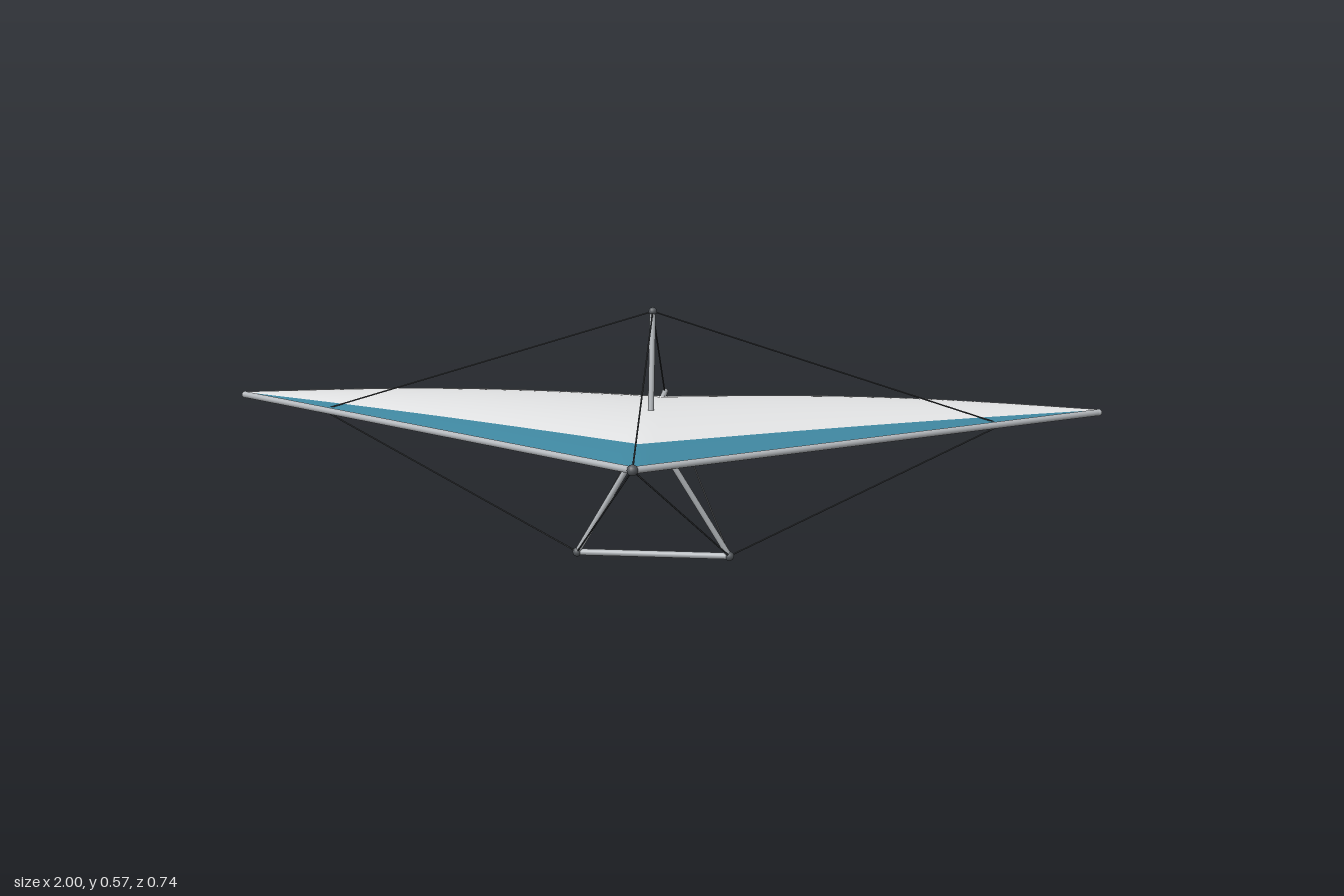
import * as THREE from 'three';

const V = (x, y, z) => new THREE.Vector3(x, y, z);
const mat = (name, color, side = THREE.FrontSide) => {
  const m = new THREE.MeshStandardMaterial({ color, side });
  m.name = name;
  return m;
};

// Key points of the airframe
const NOSE = V(0, 0.317, 0.36), TAIL = V(0, 0.317, -0.372);
const APEX = V(0, 0.312, -0.013), MAST = V(0, 0.56, -0.063);
const tip = s => V(s * 0.99, 0.302, -0.31);
const corner = s => V(s * 0.17, 0.012, -0.071);
const edge = (s, t) => NOSE.clone().lerp(tip(s), t);

// Point on the sail: u runs along the span (-1..1), t from leading to trailing edge
function sailPoint(u, t) {
  const a = Math.abs(u);
  const front = V(u * 0.99, 0.322 - 0.015 * a, 0.36 - 0.67 * a);
  const bulge = Math.sin(Math.PI * a);
  const back = V(u * 0.99, 0.319 - 0.013 * a + 0.005 * bulge, -0.312 - 0.012 * a - 0.038 * bulge);
  const chord = front.z - back.z;
  const p = front.lerp(back, t);
  p.y += 0.19 * chord * t * (1 - t);
  return p;
}

// Cambered cloth with a coloured band along the leading edge
function sailGeometry() {
  const spans = 64, band = 4, rows = 20, split = 0.18;
  const pos = [], idx = [];
  for (let j = 0; j <= rows; j++) {
    const t = j <= band ? split * j / band : split + (1 - split) * (j - band) / (rows - band);
    for (let i = 0; i <= spans; i++) pos.push(...sailPoint(-1 + 2 * i / spans, t).toArray());
  }
  for (let j = 0; j < rows; j++) {
    for (let i = 0; i < spans; i++) {
      const a = j * (spans + 1) + i, b = a + spans + 1;
      idx.push(a, a + 1, b, a + 1, b + 1, b);
    }
  }
  const g = new THREE.BufferGeometry();
  g.setAttribute('position', new THREE.Float32BufferAttribute(pos, 3));
  g.setIndex(idx);
  g.addGroup(0, band * spans * 6, 0);
  g.addGroup(band * spans * 6, (rows - band) * spans * 6, 1);
  g.computeVertexNormals();
  return g;
}

export function createModel() {
  const root = new THREE.Group();
  root.name = 'hangGlider';
  const cloth = mat('sail cloth', 0xe4e5e6, THREE.DoubleSide);
  const teal = mat('teal band', 0x3f87a0, THREE.DoubleSide);
  const metal = mat('aluminium', 0xb4b8bc);
  const dark = mat('dark fittings', 0x54585c);
  const wire = mat('wire', 0x3a3d40);

  const add = (name, geo, m) => {
    const mesh = new THREE.Mesh(geo, m);
    mesh.name = name;
    root.add(mesh);
    return mesh;
  };
  // Straight tube between two points
  const rod = (name, a, b, r, m, sides = 12) => {
    const mesh = add(name, new THREE.CylinderGeometry(r, r, a.distanceTo(b), sides), m);
    mesh.position.copy(a).lerp(b, 0.5);
    mesh.quaternion.setFromUnitVectors(V(0, 1, 0), b.clone().sub(a).normalize());
  };
  const ball = (name, p, r, m) =>
    add(name, new THREE.SphereGeometry(r, 14, 10), m).position.copy(p);
  const cable = (name, a, b) => rod(name, a, b, 0.0018, wire, 6);

  add('sail', sailGeometry(), [teal, cloth]);

  // Centre line: keel, mast and their fittings
  rod('keel', NOSE, TAIL, 0.007, metal);
  rod('kingpost', APEX, MAST, 0.0065, metal);
  ball('noseFitting', NOSE, 0.0115, dark);
  ball('mastCap', MAST, 0.009, dark);
  ball('apexFitting', APEX, 0.0095, dark);
  rod('baseBar', corner(-1), corner(1), 0.0075, metal);
  const tailRing = V(0, 0.317, -0.362);
  cable('upperFrontWire', MAST, NOSE);
  cable('upperRearWire', MAST, tailRing);

  for (const s of [-1, 1]) {
    // Spars and control frame
    rod('leadingEdge', NOSE, tip(s), 0.0075, metal);
    ball('tipCap', tip(s), 0.008, metal);
    rod('crossbar', V(0, 0.308, -0.045), edge(s, 0.769), 0.006, metal);
    rod('downtube', APEX, corner(s), 0.0065, metal);
    ball('cornerFitting', corner(s), 0.0105, dark);

    // Rigging
    cable('upperSideWire', MAST, edge(s, 0.769));
    cable('lowerSideWire', corner(s), edge(s, 0.769));
    cable('lowerFrontWire', corner(s), NOSE);
    cable('lowerRearWire', corner(s), tailRing);

    // Battens following the camber just under the cloth
    for (const u of [0.2, 0.4, 0.6, 0.8]) {
      const pts = [];
      for (let k = 0; k <= 6; k++) {
        const p = sailPoint(s * u, 0.04 + 0.95 * k / 6);
        p.y -= 0.0018;
        pts.push(p);
      }
      add('batten', new THREE.TubeGeometry(new THREE.CatmullRomCurve3(pts), 16, 0.0016, 6), wire);
    }
  }
  return root;
}
